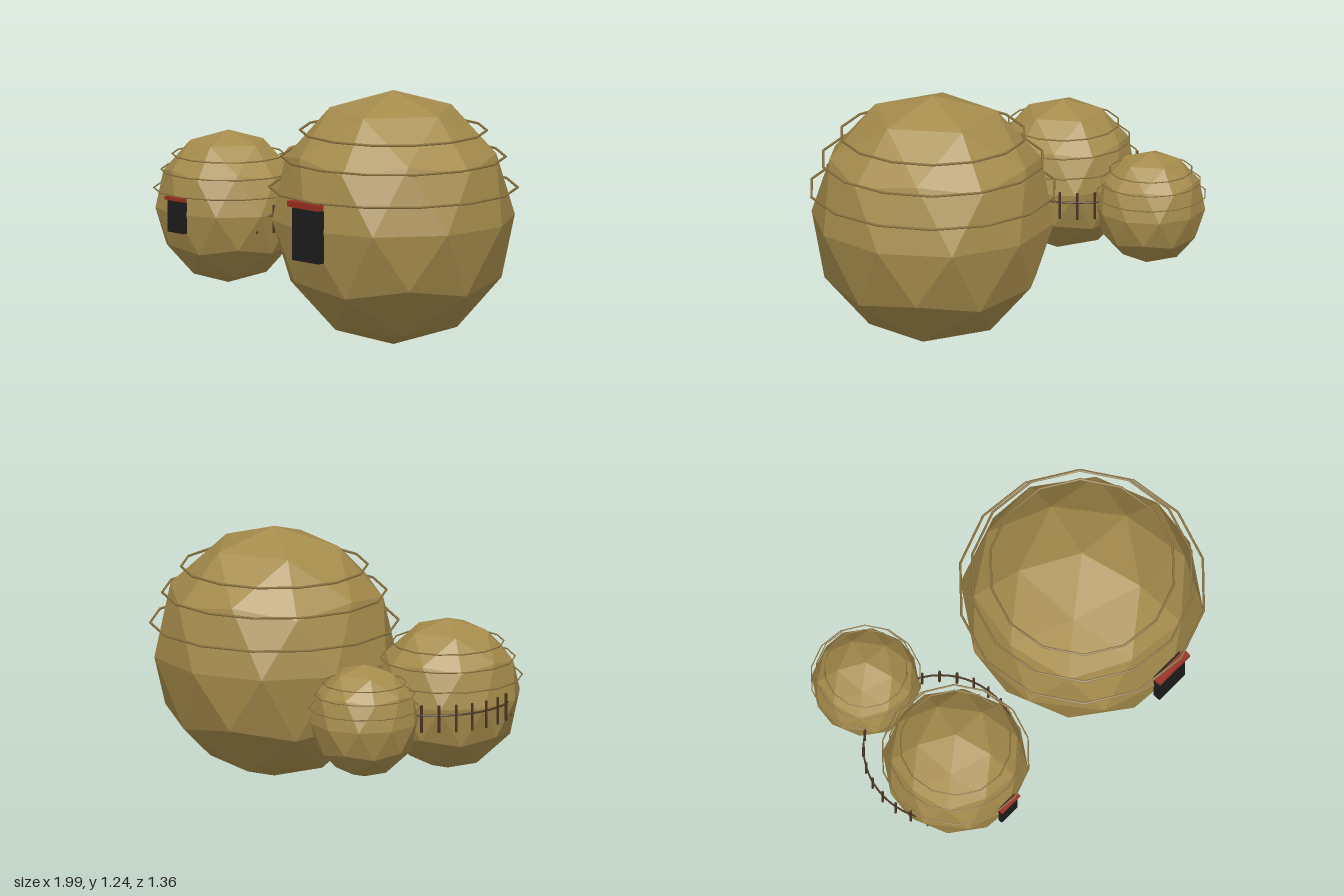
import * as THREE from 'three';

const mat = (name, color) => {
  const m = new THREE.MeshStandardMaterial({ color });
  m.name = name;
  return m;
};

export function createModel() {
  const straw = mat('straw', 0xa68c4c);
  const rope = mat('rope', 0x8b7340);
  const black = mat('doorBlack', 0x1c1c1c);
  const red = mat('lintelRed', 0x9a2e20);
  const wood = mat('fenceWood', 0x4a3520);

  const model = new THREE.Group();
  model.name = 'hutVillage';

  const add = (parent, name, geo, material, x = 0, y = 0, z = 0) => {
    const m = new THREE.Mesh(geo, material);
    m.name = name;
    m.position.set(x, y, z);
    parent.add(m);
    return m;
  };

  // Faceted icosphere with a five-sided vertex at the top
  const dome = new THREE.IcosahedronGeometry(1, 1);
  dome.rotateZ(-Math.atan(2 / (1 + Math.sqrt(5))));
  dome.scale(0.592, 0.622, 0.592);
  dome.computeVertexNormals();

  // Height and radius of the binding ropes
  const ropes = [[0.148, 0.6], [0.298, 0.542], [0.426, 0.451]].map(([y, r]) => {
    const g = new THREE.TorusGeometry(r, 0.006, 6, 14);
    g.rotateX(Math.PI / 2);
    g.rotateY(-0.117);
    return [y, g];
  });

  const hut = (name, x, y, z, size, hasDoor) => {
    const g = new THREE.Group();
    g.name = name;
    add(g, 'dome', dome, straw);
    for (const [h, geo] of ropes) add(g, 'bindingRope', geo, rope, 0, h, 0);
    if (hasDoor) {
      add(g, 'door', new THREE.BoxGeometry(0.18, 0.255, 0.04), black, 0.003, -0.021, 0.577);
      add(g, 'lintel', new THREE.BoxGeometry(0.21, 0.028, 0.04), red, 0.003, 0.128, 0.596);
    }
    g.position.set(x, y, z);
    g.scale.setScalar(size);
    model.add(g);
  };
  hut('largeHut', 0.393, 0.623, 0.067, 1, true);
  hut('mediumHut', -0.622, 0.566, 0.19, 0.6, true);
  hut('smallHut', -0.62, 0.542, -0.409, 0.447, false);

  // Curved fence around the back of the medium hut
  const fence = new THREE.Group();
  fence.name = 'fence';
  fence.position.set(-0.622, 0, 0.09);
  const count = 20, r = 0.372;
  const points = [];
  const postGeo = new THREE.CylinderGeometry(0.0065, 0.0065, 0.135, 6);
  for (let i = 0; i < count; i++) {
    const a = THREE.MathUtils.degToRad(146 + (248 * i) / (count - 1));
    const x = r * Math.cos(a), z = r * Math.sin(a);
    add(fence, 'fencePost', postGeo, wood, x, 0.548, z);
    points.push(new THREE.Vector3(x, 0.566, z));
  }
  const path = new THREE.CatmullRomCurve3(points);
  add(fence, 'fenceRail', new THREE.TubeGeometry(path, 38, 0.005, 6), wood);
  model.add(fence);

  return model;
}
